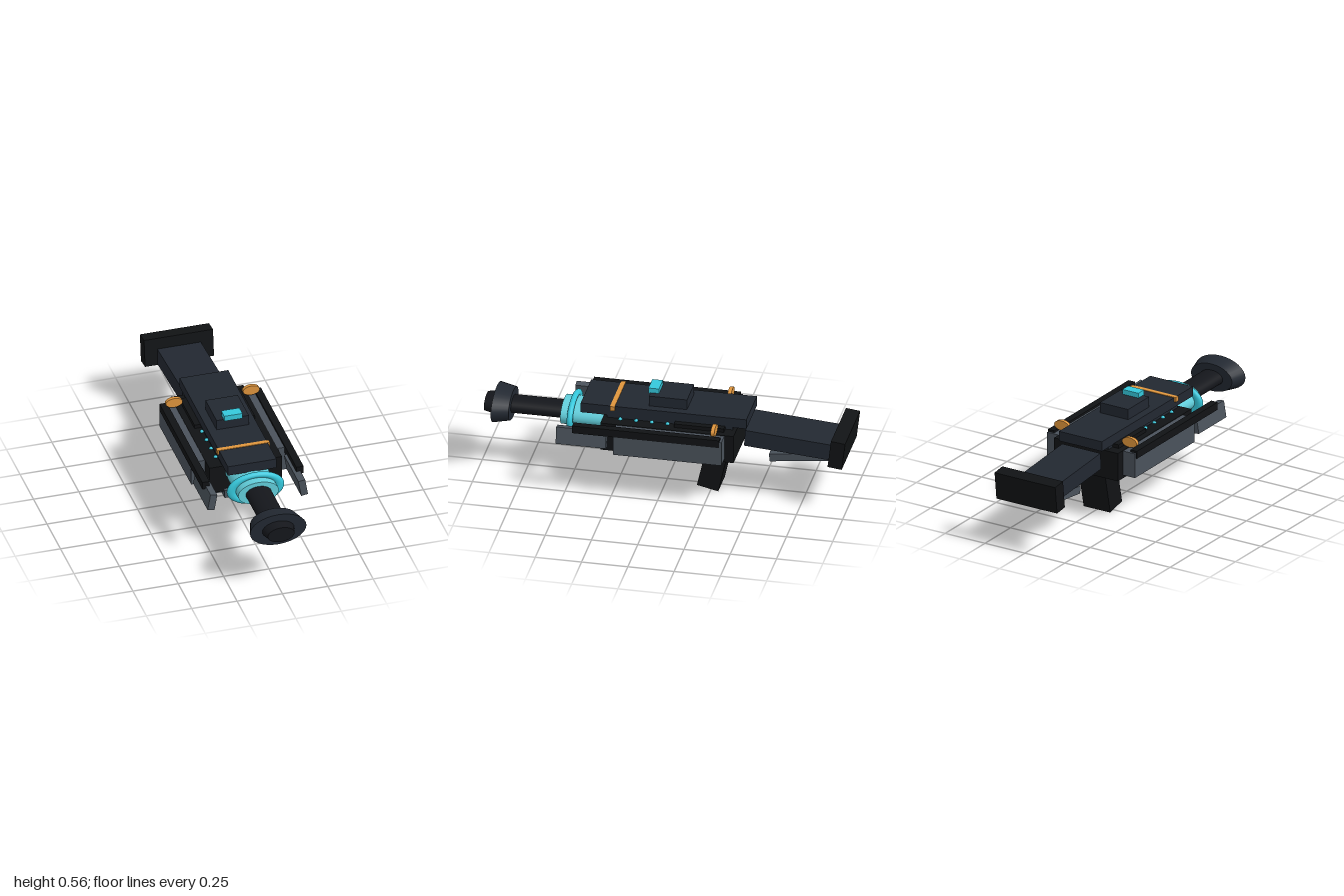
import * as THREE from 'three';

const mat = (color) => new THREE.MeshStandardMaterial({ color });

export function createModel() {
  const model = new THREE.Group();
  const black = mat(0x111315);
  const dark = mat(0x222831);
  const steel = mat(0x14161b);
  const grey = mat(0x4a525b);
  const cyan = mat(0x35c8dc);
  const paleCyan = mat(0x62cfdc);
  const orange = mat(0xdf953c);

  const add = (name, geometry, material, x, y, z, parent = model) => {
    const mesh = new THREE.Mesh(geometry, material);
    mesh.name = name;
    mesh.position.set(x, y, z);
    parent.add(mesh);
    return mesh;
  };
  // Box given by its extents: width, then y and z ranges
  const block = (name, material, x, w, y0, y1, z0, z1) =>
    add(name, new THREE.BoxGeometry(w, y1 - y0, z1 - z0), material, x, (y0 + y1) / 2, (z0 + z1) / 2);
  // Box turned about the x axis
  const tilted = (name, material, w, h, d, y, z, angle) => {
    const mesh = add(name, new THREE.BoxGeometry(w, h, d), material, 0, y, z);
    mesh.rotation.x = angle;
    return mesh;
  };

  // Receiver and top cover
  block('receiver', black, 0, 0.4, 0.244, 0.403, -0.4, 0.32);
  block('receiverRear', black, 0, 0.332, 0.39, 0.424, -0.34, -0.07);
  block('topCover', dark, 0, 0.268, 0.42, 0.475, -0.455, 0.44);
  block('coverCore', dark, 0, 0.256, 0.39, 0.422, -0.38, 0.3);
  block('coverBand', orange, 0, 0.29, 0.452, 0.478, 0.255, 0.28);
  block('sight', dark, 0, 0.178, 0.47, 0.533, -0.125, 0.08);
  block('sightLens', cyan, 0, 0.1, 0.529, 0.56, 0.035, 0.092);

  // Underside
  block('lowerPlate', grey, 0, 0.244, 0.214, 0.26, 0.1, 0.34);
  block('triggerPlate', dark, 0, 0.268, 0.2, 0.246, -0.175, -0.037);
  tilted('trigger', steel, 0.05, 0.1, 0.033, 0.178, -0.135, -0.27);
  tilted('grip', black, 0.167, 0.25, 0.118, 0.135, -0.262, -0.22);

  // Stock
  tilted('stock', dark, 0.24, 0.092, 0.47, 0.339, -0.677, -0.077);
  tilted('stockStrut', grey, 0.14, 0.042, 0.345, 0.246, -0.737, 0.117);
  tilted('buttPlate', black, 0.38, 0.156, 0.077, 0.346, -0.953, -0.12);

  // Mirrored side parts
  for (const s of [1, -1]) {
    block('sidePanel', grey, s * 0.2375, 0.075, 0.262, 0.4, -0.35, 0.235);
    block('sideRail', black, s * 0.259, 0.04, 0.369, 0.412, -0.338, 0.455);
    block('lowerRail', grey, s * 0.14, 0.034, 0.226, 0.246, -0.31, 0.3);
    const arm = add('frontArm', new THREE.BoxGeometry(0.038, 0.094, 0.27), grey, s * 0.25, 0.337, 0.41);
    arm.rotation.z = s * 0.17;
    const knob = add('sideKnob', new THREE.CylinderGeometry(0.0278, 0.0278, 0.02, 24), orange, s * 0.2125, 0.4365, -0.298);
    knob.rotation.x = Math.PI / 2;
    const flat = new THREE.Group();
    flat.name = 'sideKnobMount';
    flat.position.x = s * 0.2125;
    flat.scale.x = 1.66;
    knob.position.x = 0;
    flat.add(knob);
    model.add(flat);
    for (let i = 0; i < 4; i++) {
      add('indicatorLight', new THREE.SphereGeometry(0.011, 10, 8), cyan, s * 0.138, 0.404, -0.03 + i * 0.085);
    }
  }

  // Barrel assembly: round parts widened to an oval section
  const barrel = new THREE.Group();
  barrel.name = 'barrelAssembly';
  barrel.position.y = 0.357;
  barrel.scale.x = 1.67;
  model.add(barrel);
  const tube = (name, material, rBack, rFront, z0, z1) => {
    const geometry = new THREE.CylinderGeometry(rFront, rBack, z1 - z0, 32).rotateX(Math.PI / 2);
    return add(name, geometry, material, 0, 0, (z0 + z1) / 2, barrel);
  };
  tube('energyChamber', paleCyan, 0.067, 0.067, 0.3, 0.556);
  tube('barrel', steel, 0.042, 0.042, 0.5, 0.86);
  tube('muzzleFlare', dark, 0.077, 0.093, 0.832, 0.922);
  tube('muzzleTip', steel, 0.053, 0.044, 0.92, 0.976);
  add('energyRing', new THREE.TorusGeometry(0.079, 0.016, 12, 40), cyan, 0, 0, 0.5, barrel);

  return model;
}
